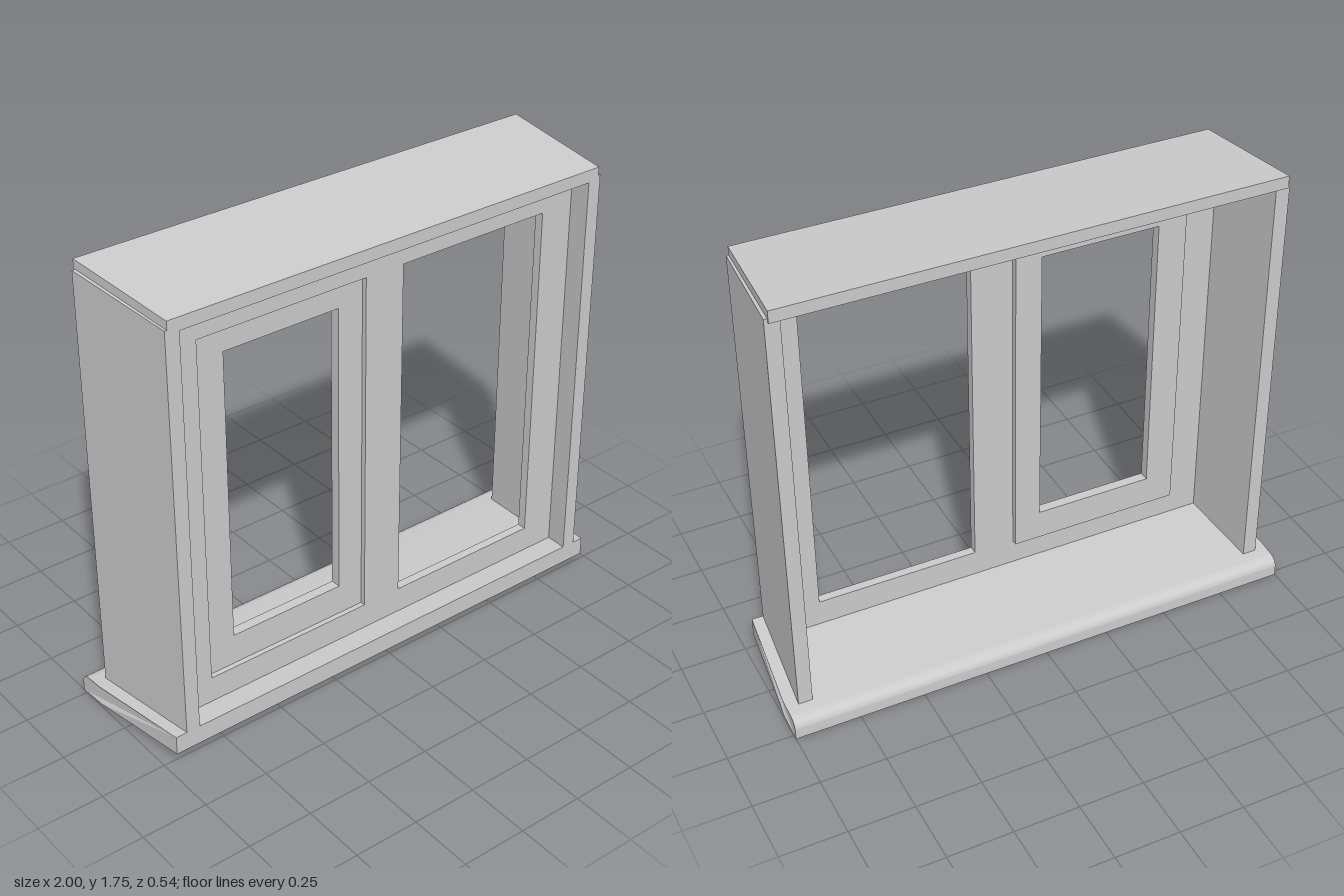
import * as THREE from 'three';
import { toCreasedNormals } from 'three/addons/utils/BufferGeometryUtils.js';

const material = new THREE.MeshStandardMaterial({ color: 0xcccccc });

function addMesh(group, name, geometry) {
  const mesh = new THREE.Mesh(geometry, material);
  mesh.name = name;
  group.add(mesh);
  return mesh;
}

// Apply a rule to every vertex, then rebuild normals with sharp edges
function reshape(geometry, rule) {
  const p = geometry.attributes.position;
  const v = new THREE.Vector3();
  for (let i = 0; i < p.count; i++) {
    rule(v.fromBufferAttribute(p, i));
    p.setXYZ(i, v.x, v.y, v.z);
  }
  return toCreasedNormals(geometry, 0.5);
}

// Side profile (z, y) run along x, with a half width that depends on z
function crossBar(shape, halfWidth) {
  const g = new THREE.ExtrudeGeometry(shape, { depth: 2, bevelEnabled: false, curveSegments: 10 });
  g.translate(0, 0, -1).rotateY(-Math.PI / 2);
  return reshape(g, v => { v.x *= halfWidth(v.z); });
}

function rectPath(path, x0, x1, y0, y1) {
  path.moveTo(x0, y0);
  path.lineTo(x1, y0);
  path.lineTo(x1, y1);
  path.lineTo(x0, y1);
  path.closePath();
  return path;
}

// Flat panel [x0, x1, y0, y1] with rectangular openings, from zBack to zFront
function panel(outer, holes, zBack, zFront) {
  const shape = rectPath(new THREE.Shape(), ...outer);
  holes.forEach(h => shape.holes.push(rectPath(new THREE.Path(), ...h)));
  const g = new THREE.ExtrudeGeometry(shape, { depth: zFront - zBack, bevelEnabled: false });
  return g.translate(0, 0, zBack);
}

const lerp = THREE.MathUtils.mapLinear;

export function createModel() {
  const group = new THREE.Group();

  // Sloping sill with a rounded nose
  const sill = new THREE.Shape();
  sill.moveTo(0.27, 0.042);
  sill.lineTo(0.27, 0.115);
  sill.lineTo(-0.155, 0.084);
  sill.lineTo(-0.225, 0.079);
  sill.bezierCurveTo(-0.255, 0.077, -0.27, 0.06, -0.27, 0.04);
  sill.lineTo(-0.27, 0);
  sill.lineTo(-0.155, 0.009);
  sill.closePath();
  addMesh(group, 'sill', crossBar(sill, z => (z < -0.15 ? 1 : lerp(z, -0.155, 0.27, 0.995, 0.958))));

  // Sloping head board
  const head = new THREE.Shape();
  head.moveTo(0.27, 1.667);
  head.lineTo(0.27, 1.715);
  head.lineTo(-0.2, 1.75);
  head.lineTo(-0.2, 1.703);
  head.closePath();
  addMesh(group, 'headBoard', crossBar(head, z => lerp(z, -0.2, 0.27, 0.942, 0.905)));

  // Splayed side jambs, housed into the sill and head
  for (const side of [1, -1]) {
    const plan = new THREE.Shape([[0.86, -0.27], [0.914, -0.27], [0.954, 0.19], [0.9, 0.19]]
      .map(([x, y]) => new THREE.Vector2(side * x, y)));
    const g = new THREE.ExtrudeGeometry(plan, { depth: 1, bevelEnabled: false });
    g.rotateX(-Math.PI / 2);
    const jamb = reshape(g, v => {
      v.y = v.y > 0.5 ? lerp(v.z, -0.19, 0.27, 1.716, 1.683) : lerp(v.z, -0.19, 0.27, 0.035, 0.067);
    });
    addMesh(group, side > 0 ? 'leftJamb' : 'rightJamb', jamb);
  }

  // Fixed frame with two openings
  const leftOpening = [-0.743, -0.063, 0.21, 1.555];
  const rightOpening = [0.097, 0.732, 0.21, 1.555];
  addMesh(group, 'windowFrame', panel([-0.872, 0.872, 0.1, 1.68], [leftOpening, rightOpening], 0.145, 0.18));

  // Sash set back in one opening
  addMesh(group, 'sash', panel(leftOpening, [[-0.63, -0.165, 0.33, 1.465]], 0.12, 0.16));

  return group;
}
